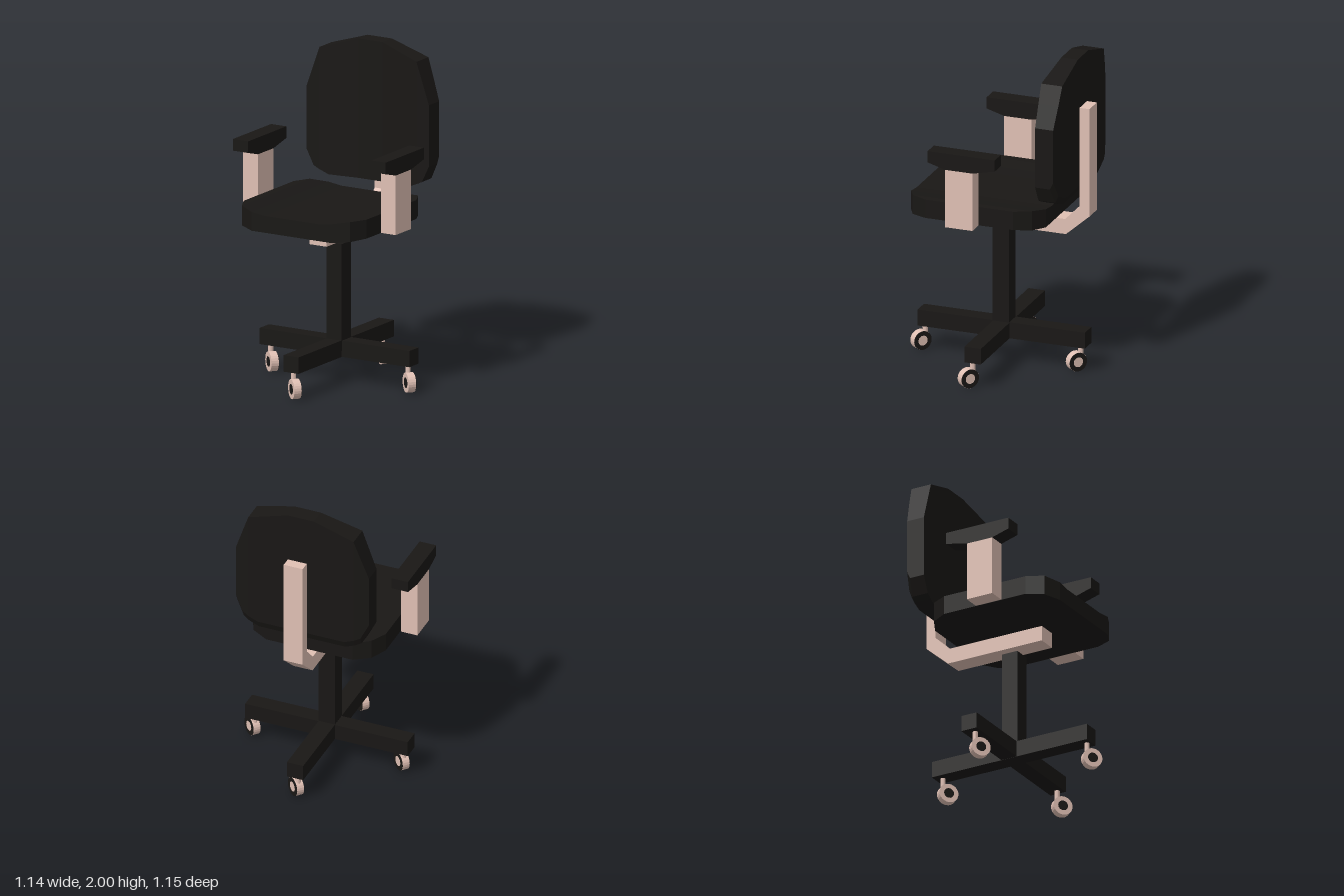
import * as THREE from 'three';

const material = (color) =>
  new THREE.MeshStandardMaterial({ color, flatShading: true, side: THREE.DoubleSide });

export function createModel() {
  const model = new THREE.Group();
  const black = material(0x191715);
  const beige = material(0xe0c0b4);
  const CX = -0.03; // centre line of seat and backrest

  const add = (name, geometry, mat, parent = model) => {
    const mesh = new THREE.Mesh(geometry, mat);
    mesh.name = name;
    parent.add(mesh);
    return mesh;
  };

  // Box given by its low and high corner
  const box = (name, lo, hi, mat) => {
    const s = hi.map((h, i) => h - lo[i]);
    const mesh = add(name, new THREE.BoxGeometry(...s), mat);
    mesh.position.set(...hi.map((h, i) => (h + lo[i]) / 2));
    return mesh;
  };

  // Side outline of [z, y] points, extruded from x0 to x1
  const sideProfile = (name, points, x0, x1, mat) => {
    const shape = new THREE.Shape(points.map(([z, y]) => new THREE.Vector2(-z, y)));
    const g = new THREE.ExtrudeGeometry(shape, { depth: x1 - x0, bevelEnabled: false });
    g.rotateY(Math.PI / 2).translate(x0, 0, 0);
    return add(name, g, mat);
  };

  // Skin over half sections, mirrored across x; each is [distance from middle, ring of [z, y]]
  const mirroredLoft = (name, half, mat) => {
    const sections = [
      ...half.map(([x, ring]) => [-x, ring]),
      ...[...half].reverse(),
    ];
    const n = half[0][1].length;
    const pos = [];
    const index = [];
    for (const [x, ring] of sections) for (const [z, y] of ring) pos.push(CX + x, y, z);
    const last = (sections.length - 1) * n;
    for (let s = 0; s < last; s += n) {
      for (let j = 0; j < n; j++) {
        const k = (j + 1) % n;
        index.push(s + j, s + k, s + n + k, s + j, s + n + k, s + n + j);
      }
    }
    for (let j = 1; j < n - 1; j++) {
      index.push(0, j + 1, j, last, last + j, last + j + 1);
    }
    let g = new THREE.BufferGeometry();
    g.setAttribute('position', new THREE.Float32BufferAttribute(pos, 3));
    g.setIndex(index);
    g = g.toNonIndexed();
    g.computeVertexNormals();
    return add(name, g, mat);
  };

  // Seat: chamfered corners and raised sides (x, half depth, bottom, top)
  const seatRows = [
    [0.43, 0.28, 1.0, 1.116],
    [0.38, 0.38, 0.994, 1.116],
    [0.28, 0.43, 0.985, 1.1],
    [0.19, 0.43, 0.985, 1.088],
  ];
  mirroredLoft('seat', seatRows.map(([x, d, b, t]) => {
    const f = 0.06 + d, r = 0.06 - d;
    return [x, [[f, b], [r, b], [r, t], [f, t]]];
  }), black);

  // Backrest: rounded outline, hollowed front, bevelled rear (x, bottom, top, front z, rear z)
  const backRows = [
    [0.43, 1.29, 1.667, -0.36, -0.475],
    [0.38, 1.19, 1.808, -0.362, -0.489],
    [0.34, 1.17, 1.92, -0.364, -0.498],
    [0.28, 1.145, 1.939, -0.371, -0.498],
    [0.085, 1.145, 2.0, -0.393, -0.498],
  ];
  mirroredLoft('backrest', backRows.map(([x, b, t, f, r]) =>
    [x, [[f, b], [r + 0.02, b], [r, b + 0.045], [r, t], [f, t]]]), black);

  // Bent bar under the seat and behind the backrest
  sideProfile('backSupport', [
    [0.225, 0.878], [-0.42, 0.878], [-0.57, 1.01], [-0.57, 1.693],
    [-0.507, 1.693], [-0.507, 1.067], [-0.415, 0.973], [0.225, 0.973],
  ], -0.072, 0.05, beige);

  // Armrests
  const padOutline = [
    [0.286, 1.468], [0.286, 1.397], [0.175, 1.365],
    [0, 1.365], [-0.142, 1.397], [-0.142, 1.468],
  ];
  for (const [side, x0, x1] of [['right', -0.57, -0.463], ['left', 0.4, 0.502]]) {
    box(side + 'ArmPost', [x0, 1.0, 0], [x1, 1.365, 0.175], beige);
    sideProfile(side + 'ArmPad', padOutline, x0, x1, black);
  }

  // Column and crossed base
  box('column', [-0.061, 0.2, -0.056], [0.045, 0.855, 0.05], black);
  box('baseBarAcross', [-0.533, 0.164, -0.059], [0.517, 0.263, 0.046], black);
  box('baseBarLengthwise', [-0.062, 0.163, -0.538], [0.043, 0.264, 0.529], black);

  // Casters, all swivelled the same way; local z is the wheel axle
  const disc = (name, radius, z0, z1, mat, parent) => {
    const g = new THREE.CylinderGeometry(radius, radius, z1 - z0, 24);
    g.rotateX(Math.PI / 2).translate(0, 0, (z0 + z1) / 2);
    add(name, g, mat, parent);
  };
  const casterSpots = [[0.483, 0.006], [-0.48, 0.006], [-0.01, 0.5], [-0.01, -0.491]];
  for (const [x, z] of casterSpots) {
    const caster = new THREE.Group();
    caster.name = 'caster';
    caster.position.set(x, 0.065, z);
    caster.rotation.y = -0.69;
    model.add(caster);

    const stem = add('casterStem', new THREE.CylinderGeometry(0.016, 0.016, 0.09, 12), beige, caster);
    stem.position.y = 0.056;
    const wheel = new THREE.Group();
    wheel.name = 'wheel';
    wheel.position.x = 0.029;
    caster.add(wheel);
    disc('wheelTread', 0.06, -0.022, 0.024, beige, wheel);
    disc('wheelInnerFace', 0.059, -0.024, -0.021, black, wheel);
    disc('wheelOuterHub', 0.031, 0, 0.0255, black, wheel);
    disc('wheelInnerHub', 0.031, -0.0255, 0, beige, wheel);
  }

  return model;
}
